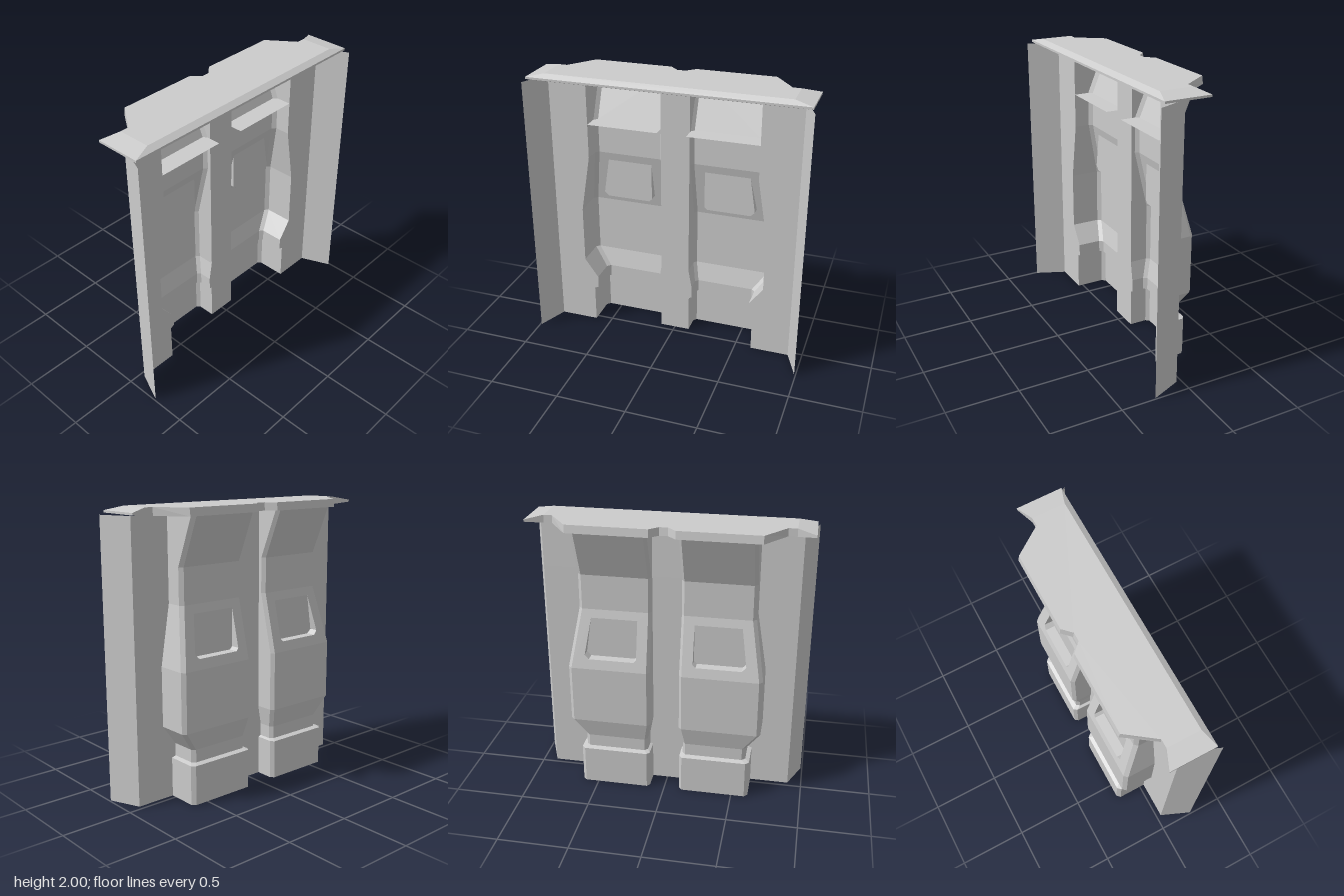
import * as THREE from 'three';

const mat = new THREE.MeshStandardMaterial({ color: 0xcccccc, flatShading: true, side: THREE.DoubleSide });

function mesh(name, geo) {
  const m = new THREE.Mesh(geo, mat);
  m.name = name;
  return m;
}

// Flat faces from quads given as four [x, y, z] corners
function quads(name, list) {
  const p = [];
  for (const [a, b, c, d] of list) p.push(...a, ...b, ...c, ...a, ...c, ...d);
  const g = new THREE.BufferGeometry();
  g.setAttribute('position', new THREE.Float32BufferAttribute(p, 3));
  g.computeVertexNormals();
  return mesh(name, g);
}

// Column levels: height, face x, outer z, inner z
const levels = [
  [0, -0.2, 0.62, 0.11], [0.28, -0.2, 0.62, 0.11],
  [0.29, -0.165, 0.59, 0.13], [0.38, -0.165, 0.59, 0.13],
  [0.52, -0.2, 0.69, 0.105], [0.94, -0.2, 0.69, 0.105],
  [1.36, -0.1, 0.62, 0.105], [1.61, -0.1, 0.62, 0.105],
  [1.945, -0.24, 0.62, 0.105],
];
const BASE = 0.035, GROOVE = -0.05, SLOPE = 5, FACE = 4;

// Half cross-section from the wing to the centre groove
function section([y, f, zo, zi], s) {
  return [[0.25, 0.99], [BASE, 0.9], [BASE, zo], [f + 0.025, zo], [f, zo - 0.025],
    [f, zi + 0.02], [f + 0.025, zi], [GROOVE, zi], [GROOVE, 0]].map(([x, z]) => [x, y, z * s]);
}

const slopeX = (y) => -0.2 + 0.1 * (y - 0.94) / 0.42;
const pocket = [[0.2, 1.3], [0.2, 1.03], [0.22, 1.01], [0.54, 1.01], [0.57, 1.04], [0.53, 1.3]];

function half(s) {
  const g = new THREE.Group();
  g.name = s > 0 ? 'frontHalf' : 'backHalf';
  const rows = levels.map((l) => section(l, s));

  // Pressed wall, skipping the face that carries the pocket
  const wall = [];
  for (let i = 0; i < rows.length - 1; i++)
    for (let j = 0; j < rows[i].length - 1; j++)
      if (!(i === SLOPE && j === FACE))
        wall.push([rows[i][j], rows[i][j + 1], rows[i + 1][j + 1], rows[i + 1][j]]);
  g.add(quads('pressedWall', wall));

  // Sloping face with the pocket opening
  const outline = [rows[5][4], rows[5][5], rows[6][5], rows[6][4]];
  const shape = new THREE.Shape(outline.map((p) => new THREE.Vector2(Math.abs(p[2]), p[1])));
  const points = pocket.map(([z, y]) => new THREE.Vector2(z, y));
  shape.holes.push(new THREE.Path(points));
  const place = (geo, xAt) => {
    const a = geo.attributes.position;
    for (let i = 0; i < a.count; i++) {
      const z = a.getX(i), y = a.getY(i);
      a.setXYZ(i, xAt(y), y, z * s);
    }
    geo.computeVertexNormals();
    return geo;
  };
  g.add(mesh('slopingFace', place(new THREE.ShapeGeometry(shape), slopeX)));

  // Recessed pocket
  g.add(mesh('pocketFloor', place(new THREE.ShapeGeometry(new THREE.Shape(points)), () => slopeX(1.3))));
  g.add(quads('pocketSides', pocket.map(([z, y], i) => {
    const [z2, y2] = pocket[(i + 1) % pocket.length];
    const d = slopeX(1.3);
    return [[slopeX(y), y, z * s], [slopeX(y2), y2, z2 * s], [d, y2, z2 * s], [d, y, z * s]];
  })));

  // Shelf at the foot of the flared top
  const r = rows[7];
  const inner = [BASE, 1.61, r[6][2]];
  g.add(quads('shelf', [[r[2], r[3], r[6], inner], [r[3], r[4], r[5], r[6]]]));
  return g;
}

// Solid with a bottom and a top ring of four corners
function block(name, lo, hi) {
  const list = [lo, hi];
  for (let i = 0; i < 4; i++) {
    const k = (i + 1) % 4;
    list.push([lo[i], lo[k], hi[k], hi[i]]);
  }
  return quads(name, list);
}

function cap() {
  const g = new THREE.Group();
  g.name = 'topCap';
  const edge = [[0.18, 0.85], [-0.05, 0.85], [-0.05, 0.79], [-0.25, 0.65], [-0.25, 0.09], [-0.19, 0.03]];
  const all = [...edge, ...edge.slice().reverse().map(([x, z]) => [x, -z])];
  const shape = new THREE.Shape(all.map(([x, z]) => new THREE.Vector2(x, -z)));
  const top = new THREE.ExtrudeGeometry(shape, { depth: 0.055, bevelEnabled: false });
  top.rotateX(-Math.PI / 2).translate(0, 1.945, 0);
  // Soften the upper rim on the outer side
  const a = top.attributes.position;
  for (let i = 0; i < a.count; i++)
    if (a.getY(i) > 1.99 && a.getX(i) < -0.1) a.setX(i, a.getX(i) + 0.008);
  top.computeVertexNormals();
  g.add(mesh('capPlate', top));

  // Sloping end flaps
  for (const s of [1, -1])
    g.add(block('capEnd',
      [[-0.05, 1.945, 0.85 * s], [0.18, 1.945, 0.85 * s], [0.22, 1.96, 0.975 * s], [-0.1, 1.96, 0.975 * s]],
      [[-0.05, 2, 0.85 * s], [0.18, 2, 0.85 * s], [0.22, 1.975, 0.975 * s], [-0.1, 1.975, 0.975 * s]]));

  // Sloping lip along the long edge
  g.add(block('capLip',
    [[0.18, 1.945, 0.85], [0.22, 1.96, 0.975], [0.22, 1.96, -0.975], [0.18, 1.945, -0.85]],
    [[0.18, 2, 0.85], [0.22, 1.975, 0.975], [0.22, 1.975, -0.975], [0.18, 2, -0.85]]));
  return g;
}

export function createModel() {
  const model = new THREE.Group();
  model.name = 'wallPanel';
  model.add(half(1), half(-1), cap());
  return model;
}
